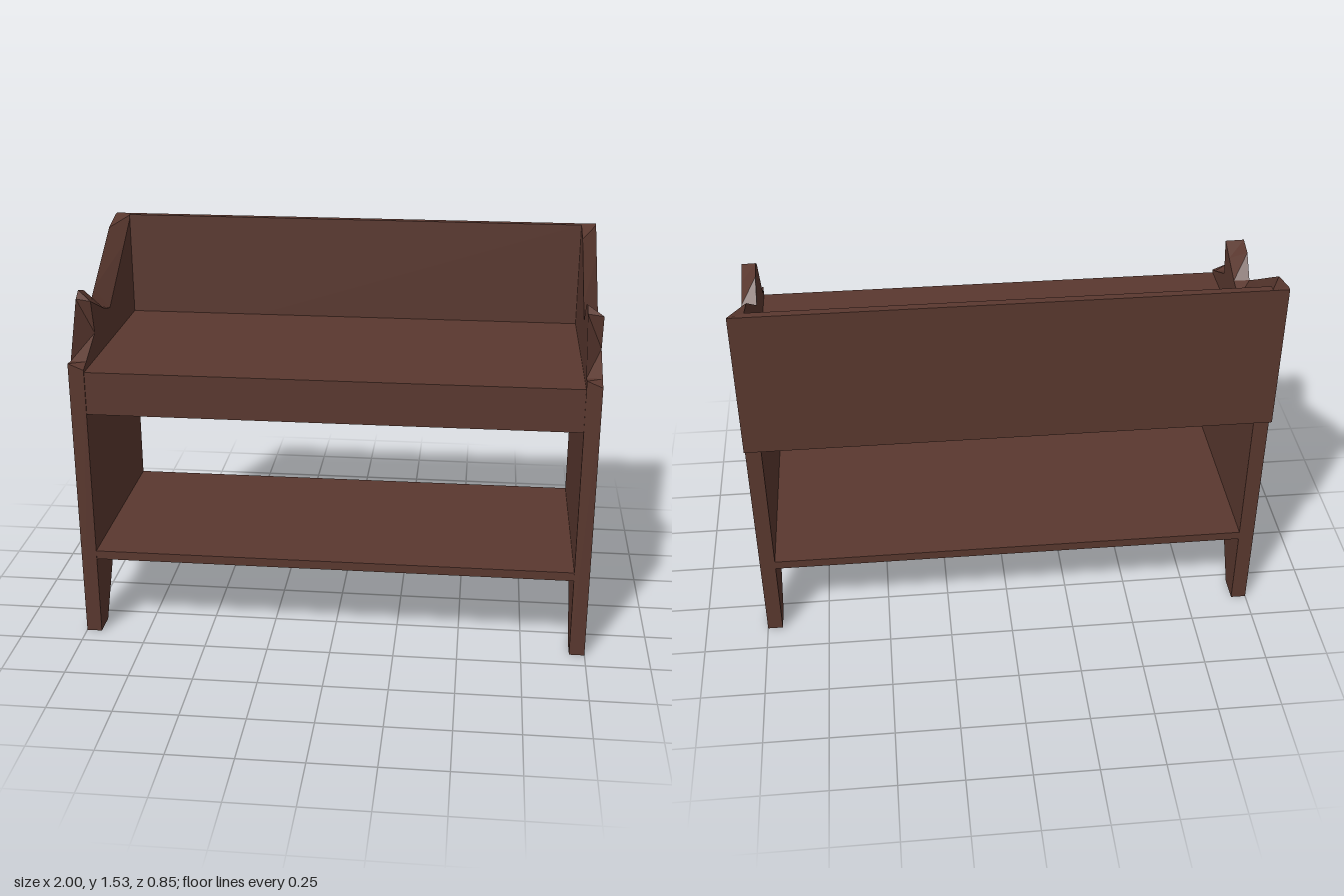
import * as THREE from 'three';

const wood = new THREE.MeshStandardMaterial({ color: 0x5a382f });
wood.name = 'dark brown wood';

// Side panel outline: [z, y] on the -x face, then [z, y] on the +x face
const OUTLINE = [
  [0.42, 0, 0.42, 0],
  [0.425, 1.145, 0.425, 1.12],
  [0.38, 1.14, 0.38, 1.14],
  [0.26, 1.35, 0.24, 1.21],
  [0.22, 1.375, 0.27, 1.345],
  [0.15, 1.355, 0.19, 1.31],
  [0.08, 1.27, 0.09, 1.265],
  [0, 1.32, 0, 1.24],
  [-0.28, 1.5, -0.28, 1.433],
  [-0.4, 1.53, -0.415, 1.526],
  [-0.425, 1.53, -0.425, 1.53],
  [-0.425, 0.94, -0.425, 0.94],
  [-0.39, 0.94, -0.39, 0.94],
  [-0.39, 0, -0.39, 0],
  [-0.29, 0, -0.29, 0],
  [-0.1, 0.21, -0.16, 0.205],
  [0.13, 0.22, 0.19, 0.22],
  [0.32, 0, 0.32, 0],
];

// Joins the two face outlines into a closed, flat-shaded panel
function panelGeometry(thickness) {
  const n = OUTLINE.length;
  const faceA = OUTLINE.map(p => new THREE.Vector2(p[0], p[1]));
  const faceB = OUTLINE.map(p => new THREE.Vector2(p[2], p[3]));
  const positions = [];
  faceA.forEach(p => positions.push(-thickness / 2, p.y, p.x));
  faceB.forEach(p => positions.push(thickness / 2, p.y, p.x));
  const index = [];
  for (const [a, b, c] of THREE.ShapeUtils.triangulateShape(faceA, [])) index.push(a, b, c);
  for (const [a, b, c] of THREE.ShapeUtils.triangulateShape(faceB, [])) index.push(n + a, n + c, n + b);
  for (let i = 0; i < n; i++) {
    const j = (i + 1) % n;
    index.push(i, n + i, n + j, i, n + j, j);
  }
  const g = new THREE.BufferGeometry();
  g.setAttribute('position', new THREE.Float32BufferAttribute(positions, 3));
  g.setIndex(index);
  const flat = g.toNonIndexed();
  flat.computeVertexNormals();
  return flat;
}

// Board spanning between the panels, given its y and z limits
function board(name, y0, y1, z0, z1) {
  const mesh = new THREE.Mesh(new THREE.BoxGeometry(1.88, y1 - y0, z1 - z0), wood);
  mesh.position.set(0, (y0 + y1) / 2, (z0 + z1) / 2);
  mesh.name = name;
  return mesh;
}

export function createModel() {
  const model = new THREE.Group();
  model.name = 'bench stand';

  // Both ends share the same carved panel
  const panel = panelGeometry(0.06);
  for (const [name, x] of [['rightSidePanel', -0.97], ['leftSidePanel', 0.97]]) {
    const mesh = new THREE.Mesh(panel, wood);
    mesh.position.x = x;
    mesh.name = name;
    model.add(mesh);
  }

  // Boards
  model.add(
    board('backBoard', 0.94, 1.53, -0.425, -0.395),
    board('topDeck', 1.085, 1.11, -0.395, 0.42),
    board('frontApron', 0.94, 1.085, 0.39, 0.42),
    board('lowerShelf', 0.325, 0.36, -0.39, 0.42),
  );
  return model;
}
